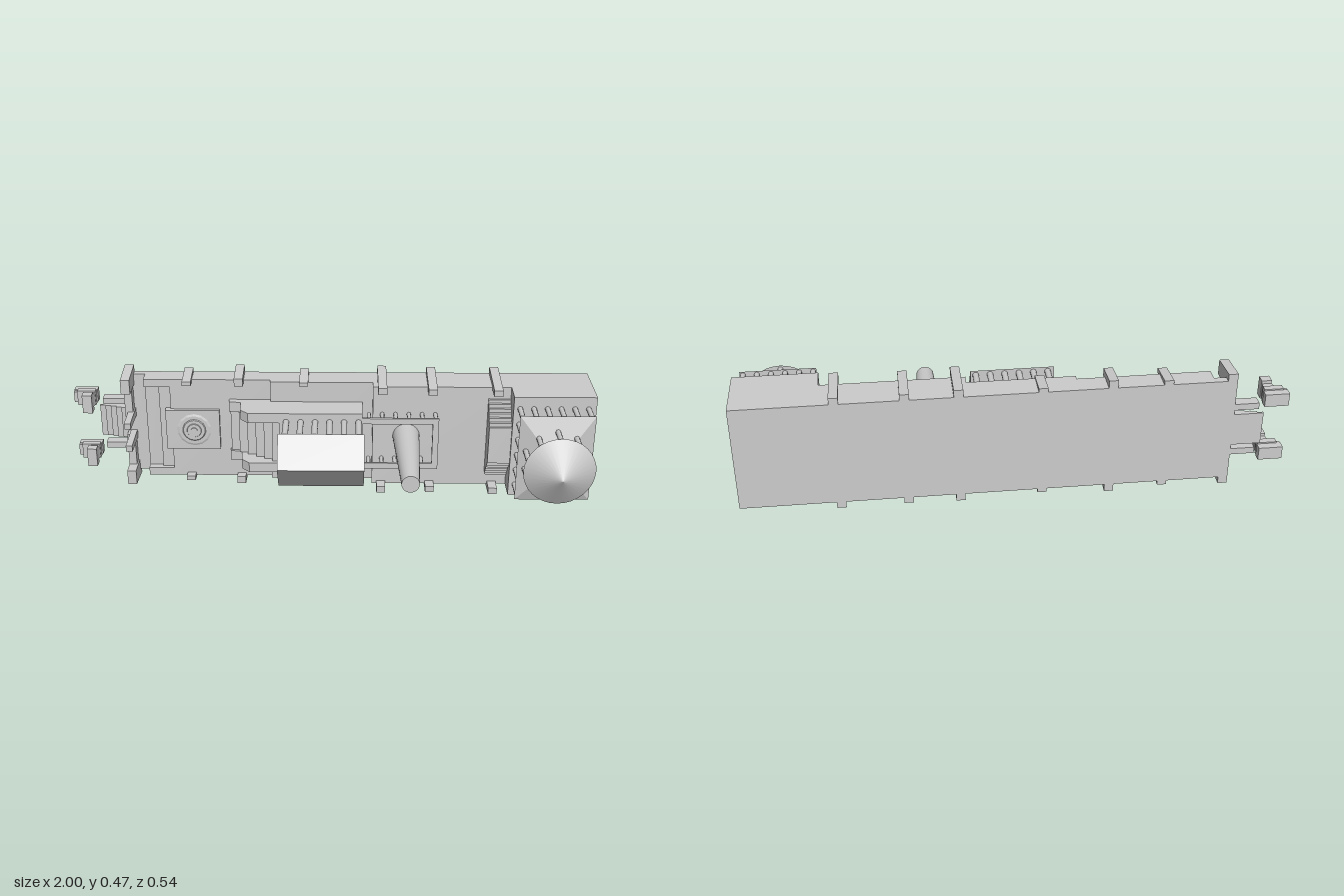
import * as THREE from 'three';

const CY = 0.235; // mid line of the complex
const BACK = -0.27; // underside of the slab

export function createModel() {
  const root = new THREE.Group();
  const mat = new THREE.MeshStandardMaterial({ color: 0xcccccc });
  const flat = new THREE.MeshStandardMaterial({ color: 0xcccccc, flatShading: true });

  const add = (name, geo, m = mat) => {
    const mesh = new THREE.Mesh(geo, m);
    mesh.name = name;
    root.add(mesh);
    return mesh;
  };
  const box = (name, x0, x1, y0, y1, z0, z1) =>
    add(name, new THREE.BoxGeometry(x1 - x0, y1 - y0, z1 - z0)
      .translate((x0 + x1) / 2, (y0 + y1) / 2, (z0 + z1) / 2));
  // box repeated on both sides of the mid line, a and b measured from it
  const pair = (name, x0, x1, a, b, z0, z1) => {
    box(name, x0, x1, CY + a, CY + b, z0, z1);
    box(name, x0, x1, CY - b, CY - a, z0, z1);
  };
  // round part standing along z
  const round = (name, x, y, z0, z1, r0, r1, sides = 10, m = mat) =>
    add(name, new THREE.CylinderGeometry(r1, r0, z1 - z0, sides)
      .rotateX(Math.PI / 2).translate(x, y, (z0 + z1) / 2), m);
  // (y, z) outline extruded along x
  const turnX = new THREE.Matrix4().makeBasis(
    new THREE.Vector3(0, 1, 0), new THREE.Vector3(0, 0, 1), new THREE.Vector3(1, 0, 0));
  const slice = (name, x0, x1, pts) => {
    const shape = new THREE.Shape(pts.map(([a, z]) => new THREE.Vector2(CY + a, z)));
    return add(name, new THREE.ExtrudeGeometry(shape, { depth: x1 - x0, bevelEnabled: false })
      .applyMatrix4(turnX).translate(x0, 0, 0));
  };
  // (x, z) outline extruded along y
  const wall = (name, a, b, pts) => {
    const shape = new THREE.Shape(pts.map(([x, z]) => new THREE.Vector2(x, z)));
    return add(name, new THREE.ExtrudeGeometry(shape, { depth: b - a, bevelEnabled: false })
      .rotateX(Math.PI / 2).translate(0, CY + b, 0));
  };

  // Stepped terrace body: start, end, top level
  const terraces = [
    [-0.8, -0.72, -0.24], [-0.72, -0.665, -0.22], [-0.665, -0.62, -0.205],
    [-0.62, -0.23, -0.19], [-0.23, 0.165, -0.17], [0.165, 0.69, -0.13], [0.69, 1, -0.04],
  ];
  for (const [x0, x1, z] of terraces) box('terrace', x0, x1, CY - 0.207, CY + 0.207, BACK, z);
  pair('terraceCurb', -0.72, -0.62, 0.175, 0.207, -0.23, -0.19);

  // Tapered buttresses along both long sides: x, top level, reach
  const buttresses = [
    [-0.55, -0.155, 0.224], [-0.35, -0.155, 0.237], [-0.1, -0.155, 0.222],
    [0.2, -0.08, 0.235], [0.39, -0.08, 0.23], [0.635, -0.07, 0.232],
  ];
  for (const [x, z, r] of buttresses)
    for (const s of [1, -1])
      slice('buttress', x - 0.017, x + 0.017,
        [[s * 0.195, BACK], [s * r, BACK], [s * (r - 0.012), z], [s * 0.195, z]]);

  // Entrance wall, corner pylons and gate posts
  pair('entranceWall', -0.8, -0.77, 0.035, 0.17, BACK, -0.2);
  for (const s of [1, -1]) {
    slice('cornerPylon', -0.8, -0.765,
      [[s * 0.165, BACK], [s * 0.235, BACK], [s * 0.223, -0.14], [s * 0.165, -0.14]]);
    slice('gatePost', -0.79, -0.765,
      [[s * 0.03, BACK], [s * 0.065, BACK], [s * 0.06, -0.1], [s * 0.035, -0.1]]);
  }

  // Entrance stairs with side parapets
  for (let i = 0; i < 5; i++)
    box('entranceStep', -0.91 + i * 0.022, -0.8, CY - 0.065, CY + 0.065, BACK, -0.262 + i * 0.006);
  pair('stairParapet', -0.89, -0.8, 0.083, 0.108, BACK, -0.23);

  // Crouching guardian statues
  for (const s of [1, -1]) {
    const a = CY + s * 0.115;
    box('statuePlinth', -1, -0.91, a - 0.025, a + 0.025, BACK, -0.24);
    box('statueBody', -0.985, -0.915, a - 0.03, a + 0.03, -0.24, -0.215);
    box('statuePaws', -1, -0.97, a - 0.022, a + 0.022, -0.24, -0.225);
    wall('statueChest', a - CY - 0.025, a - CY + 0.025,
      [[-0.96, -0.22], [-0.915, -0.22], [-0.925, -0.16], [-0.95, -0.16]]);
    box('statueHead', -0.955, -0.918, a - 0.037, a + 0.037, -0.19, -0.155);
  }

  // Garden court with a low ringed mound
  box('courtPanel', -0.64, -0.43, CY - 0.083, CY + 0.083, -0.2, -0.175);
  [0.07, 0.05, 0.032, 0.015].forEach((r, i) =>
    round('moundRing', -0.53, CY, -0.176, -0.172 + i * 0.003, r, r * 0.85, 14, flat));

  // Central platform, its stairs and sloping balustrades
  box('platform', -0.19, 0.125, CY - 0.125, CY + 0.125, -0.2, -0.06);
  for (const [a, b] of [[0.085, 0.125], [-0.125, -0.085]])
    wall('balustrade', a, b,
      [[-0.39, -0.2], [-0.19, -0.2], [-0.19, -0.06], [-0.31, -0.06], [-0.34, -0.09], [-0.345, -0.16], [-0.39, -0.165]]);
  for (let i = 0; i < 6; i++)
    box('platformStep', -0.385 + i * 0.033, -0.19, CY - 0.085, CY + 0.085, -0.2, -0.172 + i * 0.019);

  // Colonnaded hall with a gabled roof
  for (let i = 0; i < 6; i++)
    for (const s of [1, -1])
      round('hallColumn', -0.165 + i * 0.055, CY + s * 0.09, -0.06, 0.08, 0.012, 0.012);
  for (const x of [-0.165, 0.11])
    for (const a of [-0.03, 0.03]) round('hallColumn', x, CY + a, -0.06, 0.08, 0.012, 0.012);
  slice('hallRoof', -0.19, 0.13, [[-0.108, 0.08], [0.108, 0.08], [0, 0.165]]);

  // Tower court: columns carrying an open frame
  pair('courtBeam', 0.125, 0.415, 0.083, 0.106, -0.07, -0.06);
  box('courtBeam', 0.392, 0.415, CY - 0.083, CY + 0.083, -0.07, -0.06);
  for (let i = 0; i < 6; i++)
    for (const s of [1, -1])
      round('courtColumn', 0.15 + i * 0.051, CY + s * 0.094, -0.13, -0.07, 0.008, 0.008, 8);
  for (const a of [-0.05, 0, 0.05]) round('courtColumn', 0.403, CY + a, -0.13, -0.07, 0.008, 0.008, 8);
  round('tower', 0.295, CY, -0.13, 0.265, 0.052, 0.033, 24);

  // Twin flights meeting at a landing before the high block
  box('landing', 0.605, 0.69, CY - 0.075, CY + 0.075, -0.13, -0.05);
  for (let i = 0; i < 6; i++)
    pair('flightStep', 0.605, 0.69, 0.07, 0.16 - i * 0.014, -0.13, -0.12 + i * 0.012);

  // Square pavilion storey with a pyramid roof
  const PX = 0.842;
  for (let i = 0; i < 6; i++)
    for (let j = 0; j < 6; j++)
      if (i % 5 === 0 || j % 5 === 0)
        round('pavilionColumn', PX - 0.128 + i * 0.0512, CY - 0.16 + j * 0.064, -0.04, 0.055, 0.01, 0.01);
  add('pyramidRoof', new THREE.ConeGeometry(Math.SQRT2, 1, 4).rotateY(Math.PI / 4)
    .rotateX(Math.PI / 2).scale(0.14, 0.174, 0.06).translate(PX, CY, 0.085), flat);

  // Round upper storey with a cone roof
  for (let i = 0; i < 10; i++) {
    const t = ((i + 0.5) / 10) * Math.PI * 2;
    round('rotundaColumn', PX + Math.cos(t) * 0.118, CY + Math.sin(t) * 0.118, 0.06, 0.16, 0.01, 0.01);
  }
  add('coneRoof', new THREE.ConeGeometry(0.133, 0.08, 32)
    .rotateX(Math.PI / 2).translate(PX + 0.002, CY, 0.2));

  return root;
}
